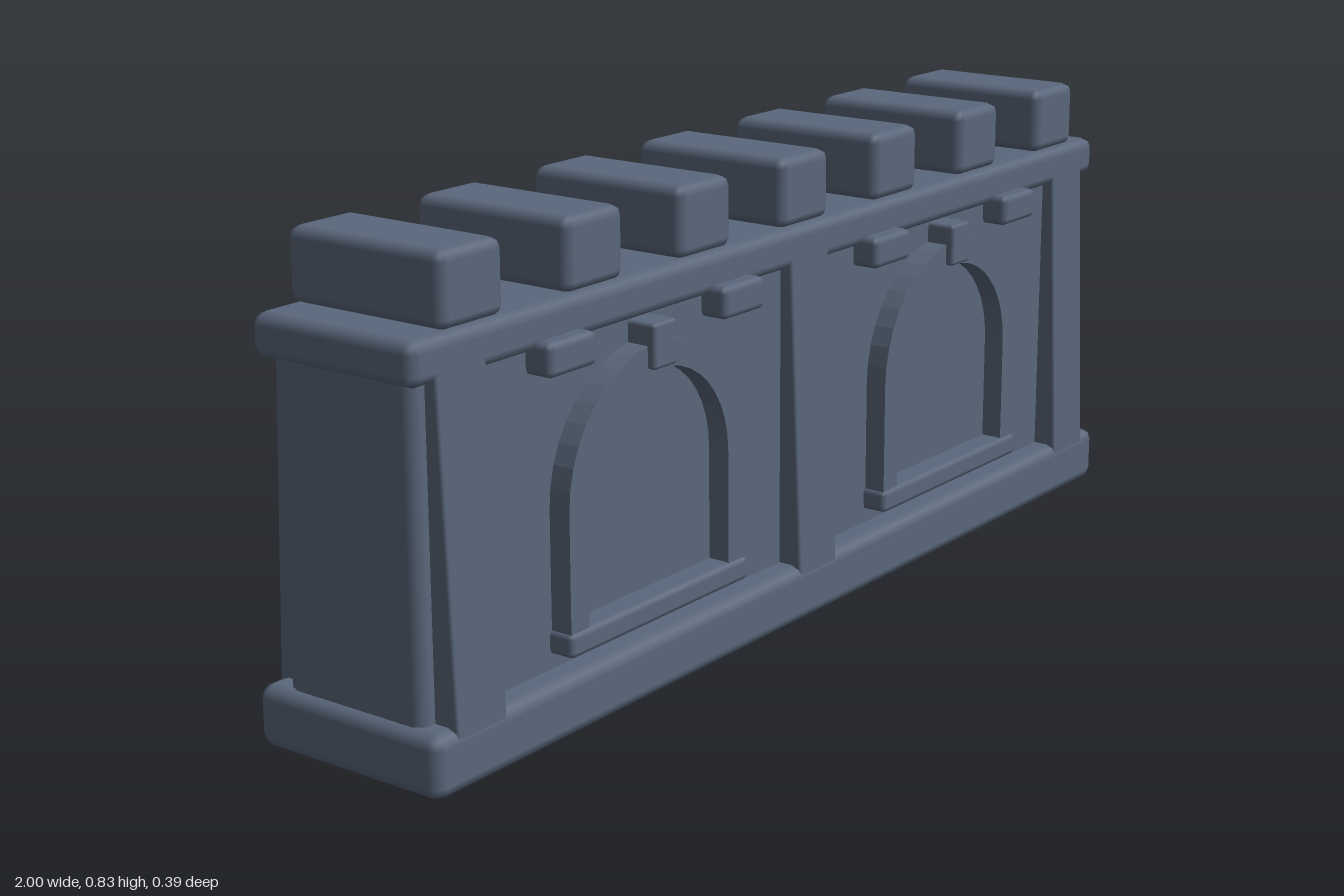
import * as THREE from 'three';
import { RoundedBoxGeometry } from 'three/addons/geometries/RoundedBoxGeometry.js';

const stone = new THREE.MeshStandardMaterial({ color: 0x5a677b });

export function createModel() {
  const model = new THREE.Group();
  model.name = 'battlementWall';

  const add = (name, geometry, x = 0, y = 0, z = 0) => {
    const mesh = new THREE.Mesh(geometry, stone);
    mesh.name = name;
    mesh.position.set(x, y, z);
    model.add(mesh);
    return mesh;
  };

  // Bevelled block given by its x, y and z ranges
  const block = (name, [x0, x1], [y0, y1], [z0, z1], bevel) =>
    add(name, new RoundedBoxGeometry(x1 - x0, y1 - y0, z1 - z0, 1, bevel),
      (x0 + x1) / 2, (y0 + y1) / 2, (z0 + z1) / 2);

  // Main masses: plinth, wall and cap
  block('plinth', [-1, 1], [0, 0.105], [-0.193, 0.188], 0.022);
  block('wall', [-0.98, 0.98], [0.06, 0.67], [-0.143, 0.14], 0.02);
  block('cap', [-1, 1], [0.637, 0.71], [-0.168, 0.163], 0.02);

  // Row of merlons
  for (let i = -3; i <= 3; i++) {
    const x = i * 0.285;
    block('merlon', [x - 0.07, x + 0.07], [0.708, 0.83], [-0.16, 0.155], 0.018);
  }

  // Pilasters on both faces, their outer side leaning inwards towards the top
  const pilaster = (x, side) => {
    const h = 0.58, d = 0.09;
    const g = new RoundedBoxGeometry(0.112, h, d, 1, 0.005);
    const p = g.attributes.position;
    for (let i = 0; i < p.count; i++) {
      if (p.getZ(i) * side > 0) {
        const t = p.getY(i) / h + 0.5;
        p.setZ(i, p.getZ(i) - side * 0.024 * t);
      }
    }
    add(side > 0 ? 'frontPilaster' : 'backPilaster', g, x, 0.085 + h / 2, side * (0.188 - d / 2) - 0.002);
  };
  for (const x of [-0.895, 0, 0.895]) for (const side of [1, -1]) pilaster(x, side);

  // Raised arch outline, open in the middle
  const archShape = new THREE.Shape();
  archShape.moveTo(-0.23, 0.15);
  archShape.lineTo(-0.185, 0.15);
  archShape.lineTo(-0.185, 0.37);
  archShape.absarc(0, 0.37, 0.185, Math.PI, 0, true);
  archShape.lineTo(0.185, 0.15);
  archShape.lineTo(0.23, 0.15);
  archShape.lineTo(0.23, 0.37);
  archShape.absarc(0, 0.37, 0.23, 0, Math.PI, false);
  const archGeometry = new THREE.ExtrudeGeometry(archShape, { depth: 0.05, bevelEnabled: false, curveSegments: 10 });

  // Blind arches with sill, keystone and brackets
  for (const cx of [-0.447, 0.447]) {
    add('arch', archGeometry, cx, 0, 0.13);
    block('sill', [cx - 0.235, cx + 0.235], [0.13, 0.172], [0.12, 0.186], 0.01);
    block('keystone', [cx - 0.03, cx + 0.03], [0.558, 0.635], [0.12, 0.195], 0.007);
    for (const s of [-1, 1]) {
      const x = cx + s * 0.222;
      block('bracket', [x - 0.057, x + 0.057], [0.598, 0.655], [0.12, 0.19], 0.012);
    }
  }

  // Horizontal rails on the back
  for (const y of [0.572, 0.235]) {
    const rail = add('backRail', new THREE.CylinderGeometry(0.014, 0.014, 1.76, 10), 0, y, -0.161);
    rail.rotation.z = Math.PI / 2;
  }

  return model;
}
